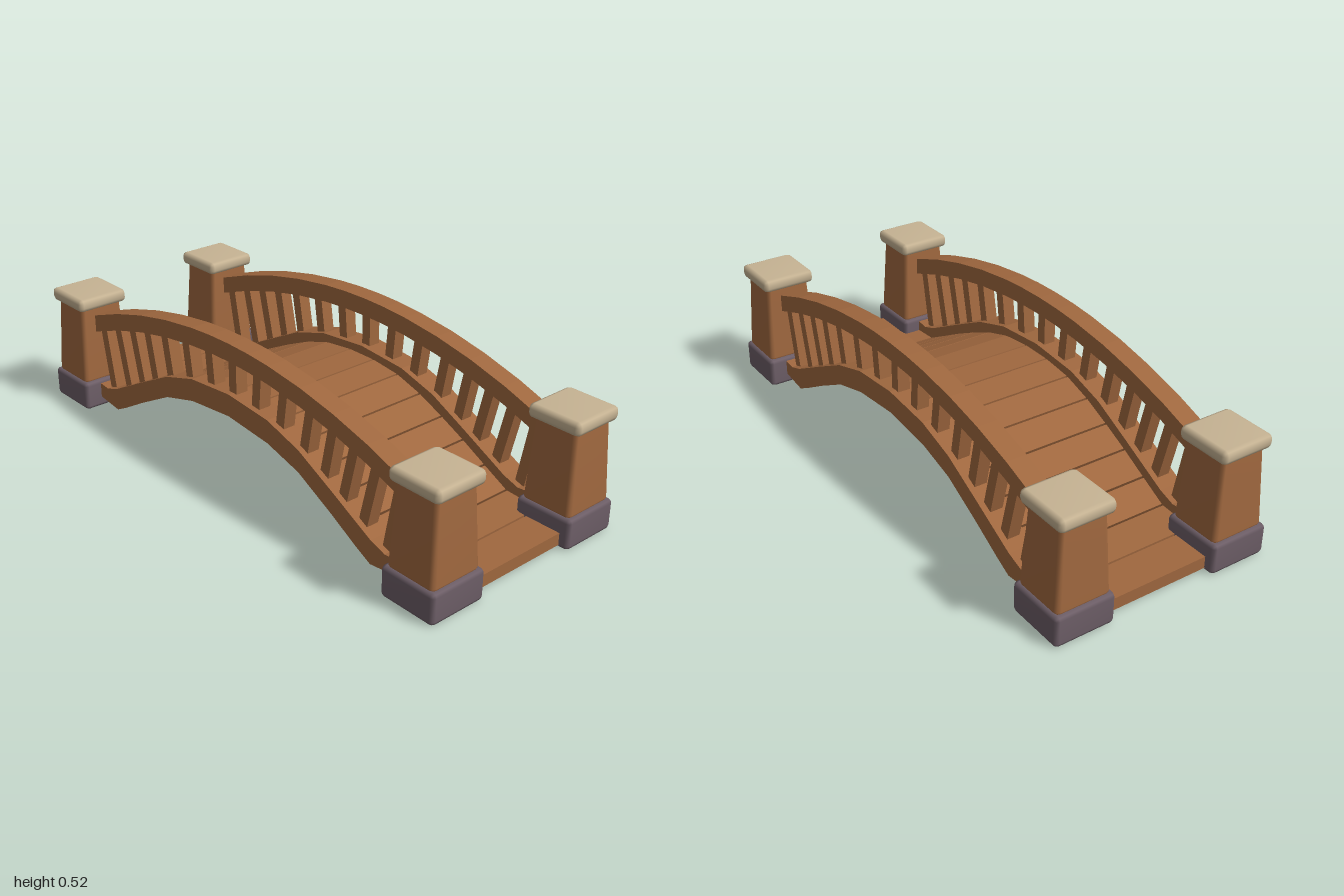
import * as THREE from 'three';
import { RoundedBoxGeometry } from 'three/addons/geometries/RoundedBoxGeometry.js';
import { mergeVertices } from 'three/addons/utils/BufferGeometryUtils.js';

const mat = (name, color) => new THREE.MeshStandardMaterial({ name, color });

// Chamfered block with softened normals, optionally narrowing toward the top
function softBlock(w, h, d, bevel, topScale = 1) {
  let g = new RoundedBoxGeometry(w, h, d, 1, bevel);
  const p = g.attributes.position;
  for (let i = 0; i < p.count; i++) {
    const s = THREE.MathUtils.lerp(1, topScale, p.getY(i) / h + 0.5);
    p.setX(i, p.getX(i) * s);
    p.setZ(i, p.getZ(i) * s);
  }
  g.deleteAttribute('normal');
  g.deleteAttribute('uv');
  g = mergeVertices(g, 1e-5);
  g.computeVertexNormals();
  return g;
}

// Arched beam: [z, y] half profiles mirrored about z = 0, extruded along x
function archBeam(top, bottom, width) {
  const full = (pts) => [...pts.slice(1).reverse().map(([z, y]) => [-z, y]), ...pts];
  const outline = [...full(bottom), ...full(top).reverse()].map(([z, y]) => new THREE.Vector2(z, y));
  const g = new THREE.ExtrudeGeometry(new THREE.Shape(outline), { depth: width, bevelEnabled: false });
  return g.translate(0, 0, -width / 2).rotateY(-Math.PI / 2);
}

// Height on a polyline at distance |z| from the middle
function heightAt(pts, z) {
  const a = Math.abs(z);
  for (let i = 1; i < pts.length; i++) {
    const [z0, y0] = pts[i - 1], [z1, y1] = pts[i];
    if (a <= z1) return y0 + (y1 - y0) * (a - z0) / (z1 - z0);
  }
  return pts[pts.length - 1][1];
}

export function createModel() {
  const model = new THREE.Group();
  model.name = 'footbridge';
  const wood = mat('wood', 0xa0683f);
  const stone = mat('darkStone', 0x6d5e67);
  const capStone = mat('paleStone', 0xc6b393);

  const add = (name, geometry, material, x, y, z, parent = model) => {
    const m = new THREE.Mesh(geometry, material);
    m.name = name;
    m.position.set(x, y, z);
    parent.add(m);
    return m;
  };

  // Corner posts: base, tapered pillar and cap
  const baseGeo = softBlock(0.215, 0.108, 0.212, 0.014);
  const pillarGeo = softBlock(0.196, 0.3, 0.188, 0.016, 0.835);
  const capGeo = softBlock(0.198, 0.048, 0.198, 0.016);
  for (const sx of [-1, 1]) for (const sz of [-1, 1]) {
    const post = new THREE.Group();
    post.name = 'cornerPost';
    post.position.set(sx * 0.297, 0, sz * 0.895);
    model.add(post);
    add('postBase', baseGeo, stone, 0, 0.056, 0, post);
    add('postPillar', pillarGeo, wood, 0, 0.25, 0, post);
    add('postCap', capGeo, capStone, 0, 0.412, 0, post);
  }

  // Side profiles
  const railTop = [0, 0.1, 0.2, 0.35, 0.5, 0.65, 0.805].map((z) => [z, 0.52 - 0.24 * z * z]);
  const railBottom = railTop.map(([z, y]) => [z, y - 0.064]);
  const beamTop = [[0, 0.342], [0.2, 0.325], [0.35, 0.28], [0.5, 0.205], [0.68, 0.112], [0.74, 0.092], [0.83, 0.1]];
  const beamBottom = [[0, 0.262], [0.2, 0.243], [0.35, 0.202], [0.5, 0.125], [0.62, 0.058], [0.68, 0.028], [0.83, 0.046]];
  const railGeo = archBeam(railTop, railBottom, 0.072);
  const beamGeo = archBeam(beamTop, beamBottom, 0.086);

  // Balusters fan out from the middle: [top z, bottom z]
  const spindles = [[0, 0], [0.13, 0.115], [0.26, 0.235], [0.385, 0.35], [0.49, 0.445], [0.585, 0.53], [0.68, 0.62], [0.775, 0.725]];
  for (const sx of [-1, 1]) {
    const x = sx * 0.297;
    add('handrail', railGeo, wood, x, 0, 0);
    add('sideBeam', beamGeo, wood, x, 0, 0);
    spindles.forEach(([zt, zb], i) => {
      for (const sz of i ? [-1, 1] : [1]) {
        const yt = heightAt(railBottom, zt) + 0.025, yb = heightAt(beamTop, zb) - 0.025;
        const dz = sz * (zt - zb), dy = yt - yb;
        const b = add('baluster', new THREE.BoxGeometry(0.045, Math.hypot(dy, dz), 0.038), wood,
          x, (yt + yb) / 2, sz * (zt + zb) / 2);
        b.rotation.x = Math.atan2(dz, dy);
      }
    });
  }

  // Deck planks follow the arch: edges given as [z, top y]
  const deck = [[0.06, 0.31], [0.18, 0.296], [0.29, 0.262], [0.395, 0.216], [0.495, 0.168], [0.595, 0.115],
    [0.695, 0.063], [0.83, 0.055], [0.97, 0.055]];
  const thick = 0.043, gap = 0.007;
  const plank = (z0, y0, z1, y1) => {
    const dz = z1 - z0, dy = y1 - y0, tilt = -Math.atan2(dy, dz);
    const m = add('deckPlank', new THREE.BoxGeometry(0.512, thick, Math.hypot(dz, dy) - gap), wood,
      0, (y0 + y1) / 2 - Math.cos(tilt) * thick / 2, (z0 + z1) / 2 - Math.sin(tilt) * thick / 2);
    m.rotation.x = tilt;
  };
  plank(-0.06, 0.31, 0.06, 0.31);
  for (let i = 1; i < deck.length; i++) {
    const [z0, y0] = deck[i - 1], [z1, y1] = deck[i];
    plank(z0, y0, z1, y1);
    plank(-z1, y1, -z0, y0);
  }
  return model;
}
